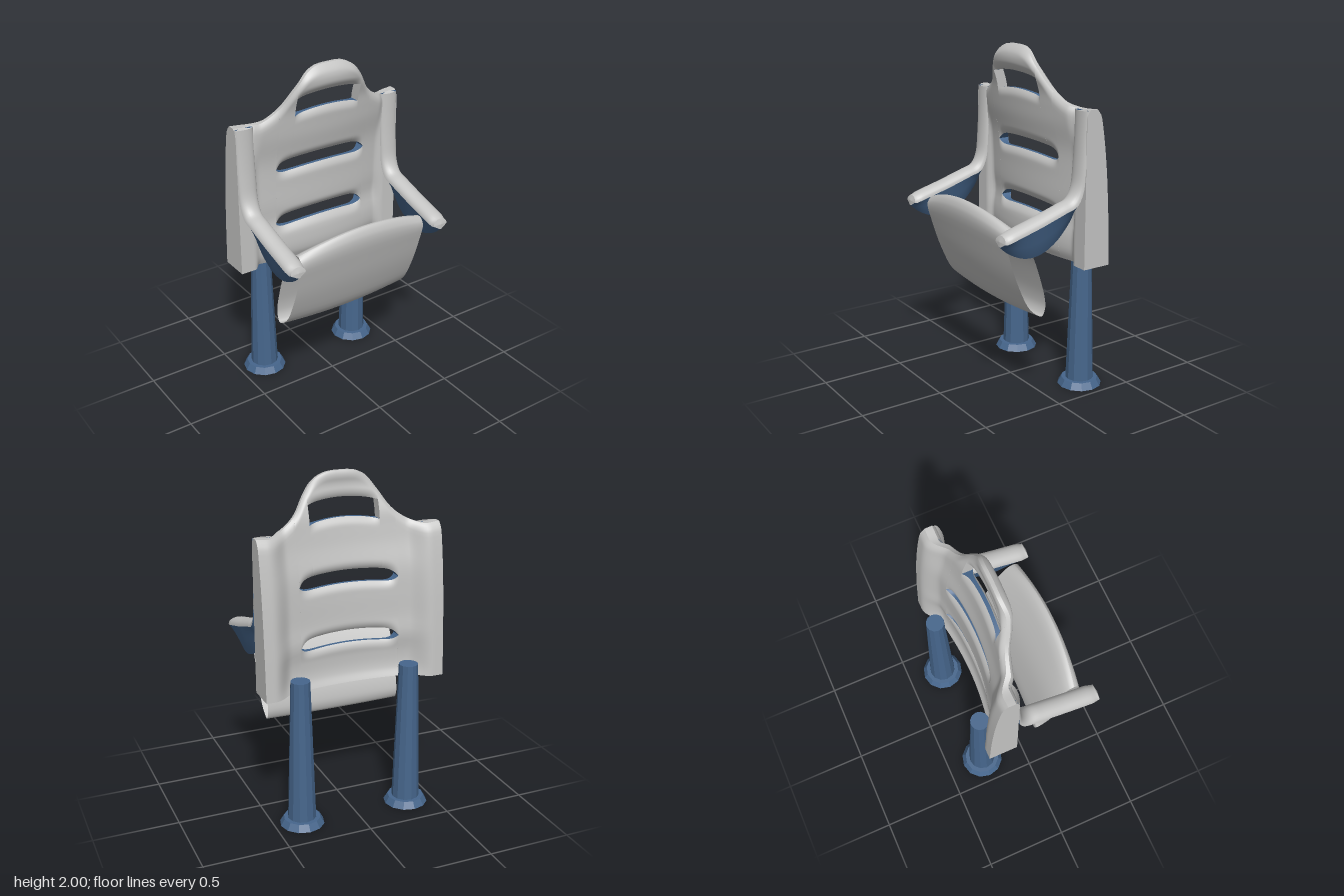
import * as THREE from 'three';

const shellGrey = new THREE.MeshStandardMaterial({ color: 0xc4c4c3, side: THREE.DoubleSide });
const frameBlue = new THREE.MeshStandardMaterial({ color: 0x46668c, side: THREE.DoubleSide });
shellGrey.name = 'shellGrey';
frameBlue.name = 'frameBlue';

function addMesh(parent, name, geometry, material) {
  const mesh = new THREE.Mesh(geometry, material);
  mesh.name = name;
  parent.add(mesh);
  return mesh;
}

// smooth curve through [position, value] pairs
function profile(pairs) {
  const curve = new THREE.CubicInterpolant(pairs.map(p => p[0]), pairs.map(p => p[1]), 1);
  return t => curve.evaluate(t)[0];
}

// surface through rows of points
function loft(rows) {
  const n = rows[0].length, index = [];
  for (let i = 0; i < rows.length - 1; i++) {
    for (let j = 0; j < n - 1; j++) {
      const a = i * n + j, b = a + 1, c = a + n, d = c + 1;
      index.push(a, b, c, b, d, c);
    }
  }
  const geometry = new THREE.BufferGeometry().setFromPoints(rows.flat());
  geometry.setIndex(index);
  geometry.computeVertexNormals();
  return geometry;
}

// backrest outline and section
const topEdge = profile([[0, 2], [0.05, 1.999], [0.1, 1.99], [0.16, 1.955], [0.22, 1.88], [0.28, 1.79],
  [0.35, 1.73], [0.44, 1.692], [0.545, 1.697]]);
const centreFront = profile([[0.8, -0.125], [0.85, -0.105], [0.95, -0.1], [1.06, -0.115], [1.16, -0.105],
  [1.3, -0.1], [1.45, -0.09], [1.6, -0.058], [1.68, -0.046], [1.76, -0.034], [1.85, -0.006], [1.93, 0.01],
  [2, -0.008]]);
const sideBack = profile([[0.8, -0.3], [1.1, -0.286], [1.4, -0.262], [1.62, -0.23], [1.7, -0.212]]);

function backrestZ(x, y, front) {
  const ax = Math.abs(x);
  const z = centreFront(y) - 0.28 * x * x - (front ? 0 : 0.065);
  const side = THREE.MathUtils.smoothstep(ax, front ? 0.4 : 0.36, front ? 0.45 : 0.49);
  return THREE.MathUtils.lerp(z, front ? -0.125 : sideBack(y), side);
}

// one area of the backrest; low and high are { y(x), half } where half is the
// half width over which that edge is rounded
function backrestPart(parent, name, x0, x1, low, high, rimLow, rimHigh) {
  const geometry = new THREE.BoxGeometry(1, 1, 1, Math.ceil((x1 - x0) / 0.014), 28, 2);
  const pos = geometry.attributes.position;
  const edgeRound = (d, x, half) => {
    if (!half) return 0;
    const fade = Math.max(0, 1 - (x / half) ** 8);
    return 0.022 * fade * Math.max(0, 1 - d / 0.05) ** 2;
  };
  for (let i = 0; i < pos.count; i++) {
    const x = x0 + (pos.getX(i) + 0.5) * (x1 - x0);
    const t = pos.getY(i) + 0.5;
    const v = 0.4 * t + 0.6 * (0.5 - 0.5 * Math.cos(Math.PI * t));
    const a = low.y(x), b = high.y(x);
    const y = a + v * (b - a);
    const r = edgeRound(y - a, x, low.half) + edgeRound(b - y, x, high.half);
    const zf = backrestZ(x, y, true) - r, zb = backrestZ(x, y, false) + r;
    pos.setXYZ(i, x, y, zb + (pos.getZ(i) + 0.5) * (zf - zb));
  }
  geometry.computeVertexNormals();
  const g = shellGrey;
  addMesh(parent, name, geometry, [g, g, rimHigh ? frameBlue : g, rimLow ? frameBlue : g, g, g]);
}

function buildBackrest() {
  const group = new THREE.Group();
  group.name = 'backrest';
  const slotEdge = (centre, side) => ({
    half: 0.3,
    y: x => centre - 0.25 * x * x + side * 0.037 * Math.max(0, 1 - (Math.abs(x) / 0.3) ** 12),
  });
  const bottom = { y: () => 0.8, half: 0 };
  const top = { y: x => topEdge(Math.abs(x)), half: 2 };
  const grip = base => ({ y: x => base - 0.55 * x * x, half: 0.21 });

  // slats between the slots
  backrestPart(group, 'lowerSlat', -0.3, 0.3, bottom, slotEdge(1.07, -1), false, true);
  backrestPart(group, 'middleSlat', -0.3, 0.3, slotEdge(1.07, 1), slotEdge(1.42, -1), true, true);
  backrestPart(group, 'upperSlat', -0.21, 0.21, slotEdge(1.42, 1), grip(1.747), true, true);

  // arched handle over the grip opening
  backrestPart(group, 'handle', -0.21, 0.21, grip(1.853), top, true, false);

  // shoulders and deep side panels
  for (const [a, b] of [[0.21, 0.3], [-0.3, -0.21]]) {
    backrestPart(group, 'shoulder', a, b, slotEdge(1.42, 1), top, true, false);
  }
  for (const [a, b] of [[0.3, 0.545], [-0.545, -0.3]]) {
    backrestPart(group, 'sidePanel', a, b, bottom, top, false, false);
  }
  return group;
}

// folded seat: a curved hollow tube, open at both ends
function buildSeat() {
  const section = [[0.325, 1.15], [0.35, 1.09], [0.31, 0.92], [0.245, 0.73], [0.165, 0.57], [0.09, 0.515],
    [0.067, 0.56], [0.07, 0.63], [0.095, 0.73], [0.15, 0.89], [0.22, 1.03], [0.29, 1.135]];
  const curve = new THREE.CatmullRomCurve3(section.map(([z, y]) => new THREE.Vector3(0, y, z)), true);
  const points = curve.getPoints(48);
  const rows = [];
  for (let i = 0; i <= 20; i++) {
    const s = i / 10 - 1, e = s * s;
    rows.push(points.map(p => {
      const up = Math.max(0, (p.y - 0.8) / 0.35) ** 2, down = Math.max(0, (0.8 - p.y) / 0.29) ** 2;
      return new THREE.Vector3(s * 0.42, p.y + e * (0.015 * down - 0.08 * up), p.z - e * (0.018 + 0.022 * up));
    }));
  }
  return loft(rows);
}

// armrest: rounded grey top over a blue keel
function buildArm(cx) {
  const group = new THREE.Group();
  group.name = cx > 0 ? 'leftArmrest' : 'rightArmrest';
  // top z, top y, keel z, keel y
  const stations = [[-0.112, 1.69, -0.15, 1.69], [-0.108, 1.55, -0.15, 1.53], [-0.1, 1.4, -0.14, 1.37],
    [-0.085, 1.28, -0.13, 1.24], [-0.045, 1.213, -0.09, 1.14], [0.02, 1.19, -0.05, 1.07],
    [0.1, 1.165, 0.03, 0.985], [0.18, 1.14, 0.13, 0.93], [0.27, 1.115, 0.23, 0.922],
    [0.34, 1.095, 0.33, 0.96], [0.385, 1.077, 0.398, 1.015]];
  const path = k => new THREE.CatmullRomCurve3(
    stations.map(s => new THREE.Vector3(0, s[k + 1], s[k])), false, 'catmullrom');
  const topPath = path(0), keelPath = path(2);
  const capRows = [], keelRows = [];
  for (let i = 0; i <= 50; i++) {
    const t = i / 50;
    const top = topPath.getPoint(t), keel = keelPath.getPoint(t);
    const up = top.clone().sub(keel);
    const height = Math.min(0.045, up.length() * 0.6);
    up.normalize();
    const edge = top.clone().addScaledVector(up, -height);
    const w = 0.057 - 0.009 * THREE.MathUtils.smoothstep(t, 0.9, 1);
    const at = (p, x) => new THREE.Vector3(cx + x, p.y, p.z);
    const cap = [];
    for (let j = 0; j <= 12; j++) {
      const a = Math.PI * j / 12;
      cap.push(at(edge.clone().addScaledVector(up, height * Math.sin(a)), w * Math.cos(a)));
    }
    capRows.push(cap);
    const mid = edge.clone().lerp(keel, 0.5);
    keelRows.push([at(edge, -w), at(mid, -w * 0.55), at(keel, -0.006), at(keel, 0.006),
      at(mid, w * 0.55), at(edge, w)]);
  }
  addMesh(group, 'armTop', loft(capRows), shellGrey);
  addMesh(group, 'armKeel', loft(keelRows), frameBlue);

  // front end of the arm
  const rim = [...capRows[50], ...keelRows[50].slice(1)];
  const centre = new THREE.Vector3(cx, 1.045, 0.398);
  addMesh(group, 'armEnd', loft([rim, rim.map(() => centre)]), shellGrey);
  return group;
}

// tapered post on a bevelled foot
function buildLeg(x) {
  const group = new THREE.Group();
  group.name = x > 0 ? 'leftLeg' : 'rightLeg';
  const part = (name, r1, r0, y0, y1) => {
    const geometry = new THREE.CylinderGeometry(r1, r0, y1 - y0, 12).toNonIndexed();
    geometry.computeVertexNormals();
    addMesh(group, name, geometry, frameBlue).position.y = (y0 + y1) / 2;
  };
  part('foot', 0.108, 0.131, 0, 0.04);
  part('post', 0.056, 0.083, 0.04, 0.89);
  group.position.set(x, 0, -0.27);
  return group;
}

export function createModel() {
  const model = new THREE.Group();
  model.name = 'stadiumSeat';
  model.add(buildBackrest());
  addMesh(model, 'foldedSeat', buildSeat(), shellGrey);
  for (const side of [1, -1]) {
    model.add(buildArm(side * 0.488));
    model.add(buildLeg(side * 0.335));
  }
  return model;
}
